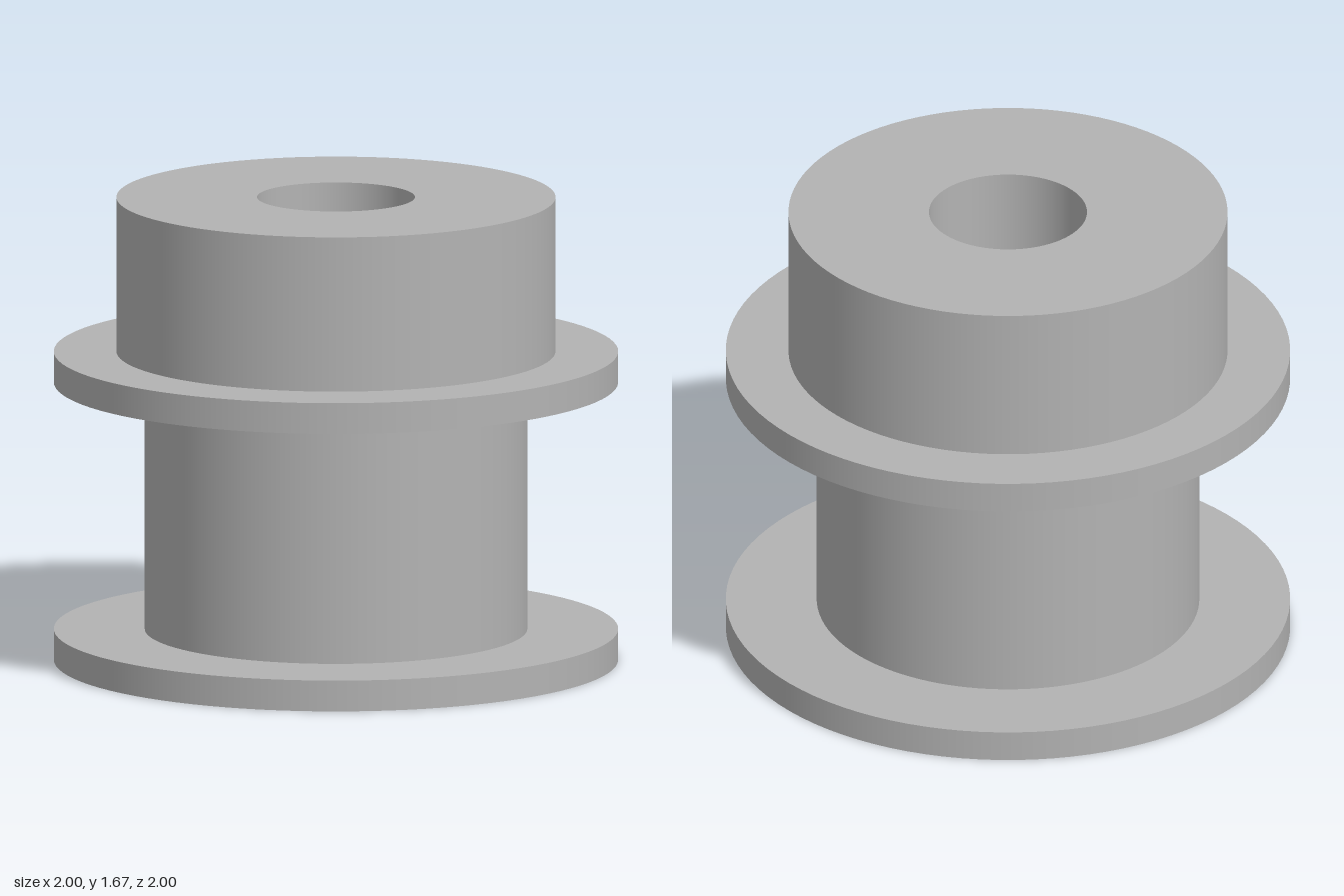
import * as THREE from 'three';
import { mergeGeometries } from 'three/addons/utils/BufferGeometryUtils.js';

const SEGMENTS = 96;

// Revolve each profile edge [radius, y] separately so the corners stay sharp
function turned(profile) {
  const strips = [];
  for (let i = 0; i < profile.length - 1; i++) {
    const edge = [profile[i], profile[i + 1]].map(([r, y]) => new THREE.Vector2(r, y));
    strips.push(new THREE.LatheGeometry(edge, SEGMENTS));
  }
  return mergeGeometries(strips);
}

export function createModel() {
  const group = new THREE.Group();
  group.name = 'flangedPulley';
  const metal = new THREE.MeshStandardMaterial({ color: 0xb3b3b3 });
  metal.name = 'grey metal';

  const bore = 0.28, barrel = 0.678, collar = 0.778, flange = 1;
  const lowTop = 0.111, highBottom = 1, highTop = 1.111, top = 1.667;

  // Profiles run anticlockwise, so faces point outwards
  const parts = {
    lowerFlange: [[bore, 0], [flange, 0], [flange, lowTop], [barrel, lowTop]],
    barrel: [[barrel, lowTop], [barrel, highBottom]],
    upperFlange: [[barrel, highBottom], [flange, highBottom], [flange, highTop], [collar, highTop]],
    collar: [[collar, highTop], [collar, top], [bore, top]],
    bore: [[bore, top], [bore, 0]],
  };
  for (const [name, profile] of Object.entries(parts)) {
    const mesh = new THREE.Mesh(turned(profile), metal);
    mesh.name = name;
    group.add(mesh);
  }
  return group;
}
